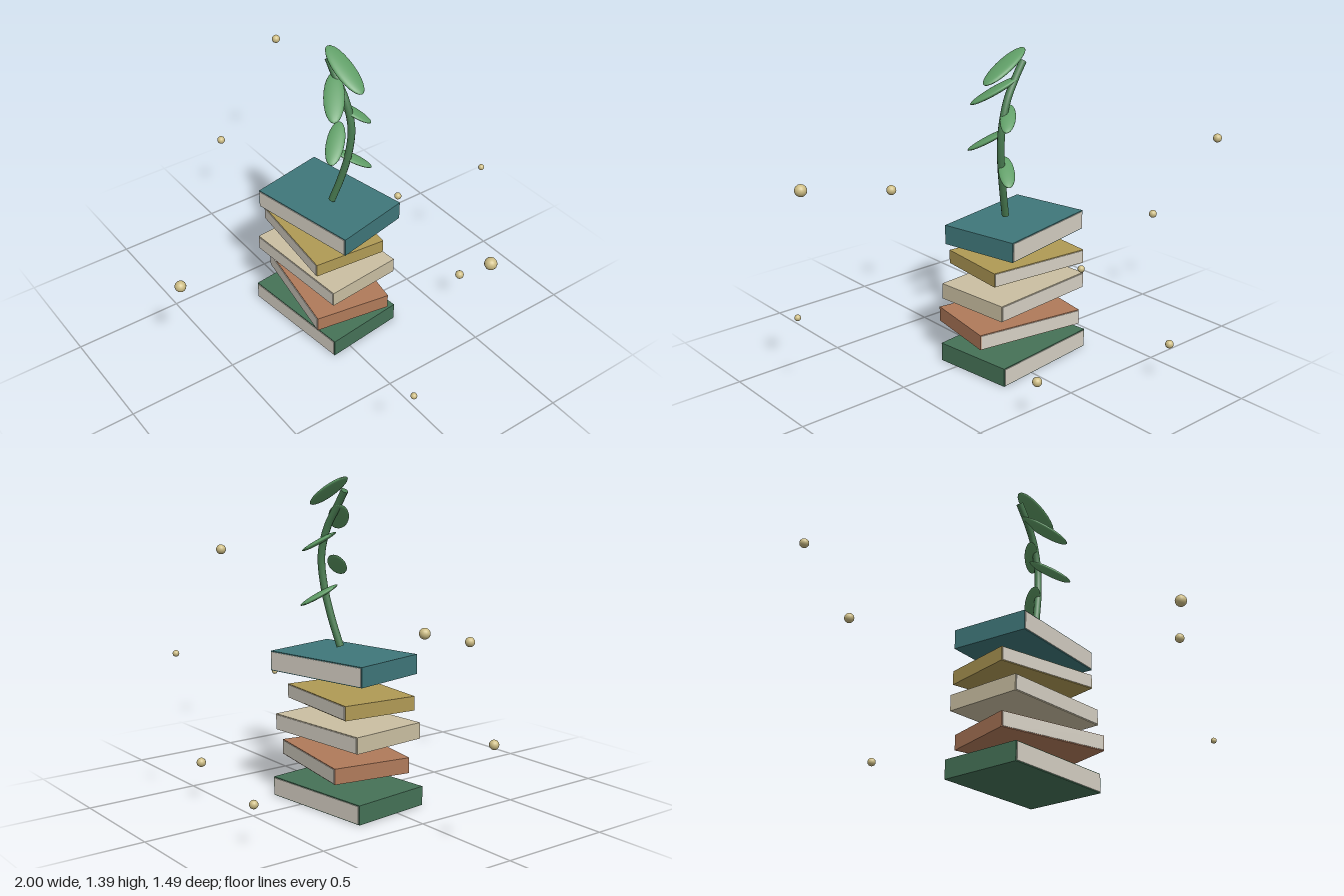
import * as THREE from 'three';

const mat = (color) => new THREE.MeshStandardMaterial({ color });

function addMesh(parent, name, geometry, material) {
  const mesh = new THREE.Mesh(geometry, material);
  mesh.name = name;
  parent.add(mesh);
  return mesh;
}

export function createModel() {
  const model = new THREE.Group();
  model.name = 'floatingBooksWithPlant';

  // Stack of floating books: [colour, x, z, bottom, height, width, depth, turn]
  const books = [
    [0x457257, -0.071, -0.062, 0.0, 0.083, 0.54, 0.372, 0.11],
    [0xb07a5a, -0.045, -0.058, 0.158, 0.067, 0.507, 0.35, -0.165],
    [0xcabfa2, -0.068, -0.061, 0.295, 0.07, 0.524, 0.357, 0.085],
    [0xb09a55, -0.086, -0.059, 0.431, 0.061, 0.478, 0.336, -0.097],
    [0x3f777a, -0.0615, -0.075, 0.567, 0.085, 0.513, 0.355, 0.2],
  ];
  const paper = mat(0xd6d0c4);
  for (const [color, x, z, bottom, h, w, d, turn] of books) {
    const book = new THREE.Group();
    book.name = 'book';
    book.position.set(x, bottom + h / 2, z);
    book.rotation.y = turn;
    addMesh(book, 'cover', new THREE.BoxGeometry(w, h, d), mat(color));
    // Page block shows just proud of the cover at front and back
    addMesh(book, 'pages', new THREE.BoxGeometry(w * 0.98, h * 0.9, d + 0.006), paper);
    model.add(book);
  }

  // Curved stem growing from the top book
  const plant = new THREE.Group();
  plant.name = 'plant';
  model.add(plant);
  const path = new THREE.CatmullRomCurve3([
    [-0.019, 0.67, -0.06],
    [0.016, 0.8, -0.083],
    [0.042, 0.93, -0.1],
    [0.047, 1.06, -0.109],
    [0.013, 1.18, -0.102],
    [-0.04, 1.265, -0.092],
    [-0.088, 1.335, -0.088],
  ].map((p) => new THREE.Vector3(...p)));
  const green = mat(0x4a7d52);
  addMesh(plant, 'stem', new THREE.TubeGeometry(path, 40, 0.016, 10), green);
  for (const t of [0, 1]) {
    const cap = addMesh(plant, 'stemEnd', new THREE.CircleGeometry(0.016, 10), green);
    const dir = path.getTangentAt(t).multiplyScalar(t ? 1 : -1);
    cap.position.copy(path.getPointAt(t));
    cap.quaternion.setFromUnitVectors(new THREE.Vector3(0, 0, 1), dir);
  }

  // Flat drooping leaves: [x, y, z, half length, half width, turn]
  const leaves = [
    [0.037, 0.89, -0.13, 0.09, 0.034, 0.97],
    [0.045, 1.012, -0.028, 0.104, 0.039, -0.82],
    [0.032, 1.118, -0.132, 0.084, 0.032, 0.75],
    [0.021, 1.218, -0.038, 0.118, 0.044, -0.63],
    [0.018, 1.328, -0.092, 0.1275, 0.048, 0.05],
  ];
  const leafMat = mat(0x5f9d66);
  const leafShape = new THREE.SphereGeometry(1, 24, 16);
  for (const [x, y, z, length, width, turn] of leaves) {
    const leaf = addMesh(plant, 'leaf', leafShape, leafMat);
    leaf.position.set(x, y, z);
    leaf.rotation.set(0, turn, -0.51);
    leaf.scale.set(length, length * 0.13, width);
  }

  // Small beads drifting around the stack: [x, y, z, radius]
  const beads = [
    [-0.98, 0.909, -0.418, 0.02],
    [-0.97, 0.4545, -0.068, 0.019],
    [-0.356, 0.193, -0.72, 0.018],
    [0.275, 0.18, -0.583, 0.02],
    [0.877, 0.369, 0.195, 0.0135],
    [0.975, 0.994, -0.046, 0.024],
    [0.197, 0.687, -0.732, 0.0135],
    [0.012, 0.591, 0.724, 0.024],
  ];
  const beadMat = mat(0xcdbd85);
  for (const [x, y, z, r] of beads) {
    addMesh(model, 'bead', new THREE.SphereGeometry(r, 16, 12), beadMat).position.set(x, y, z);
  }
  return model;
}
